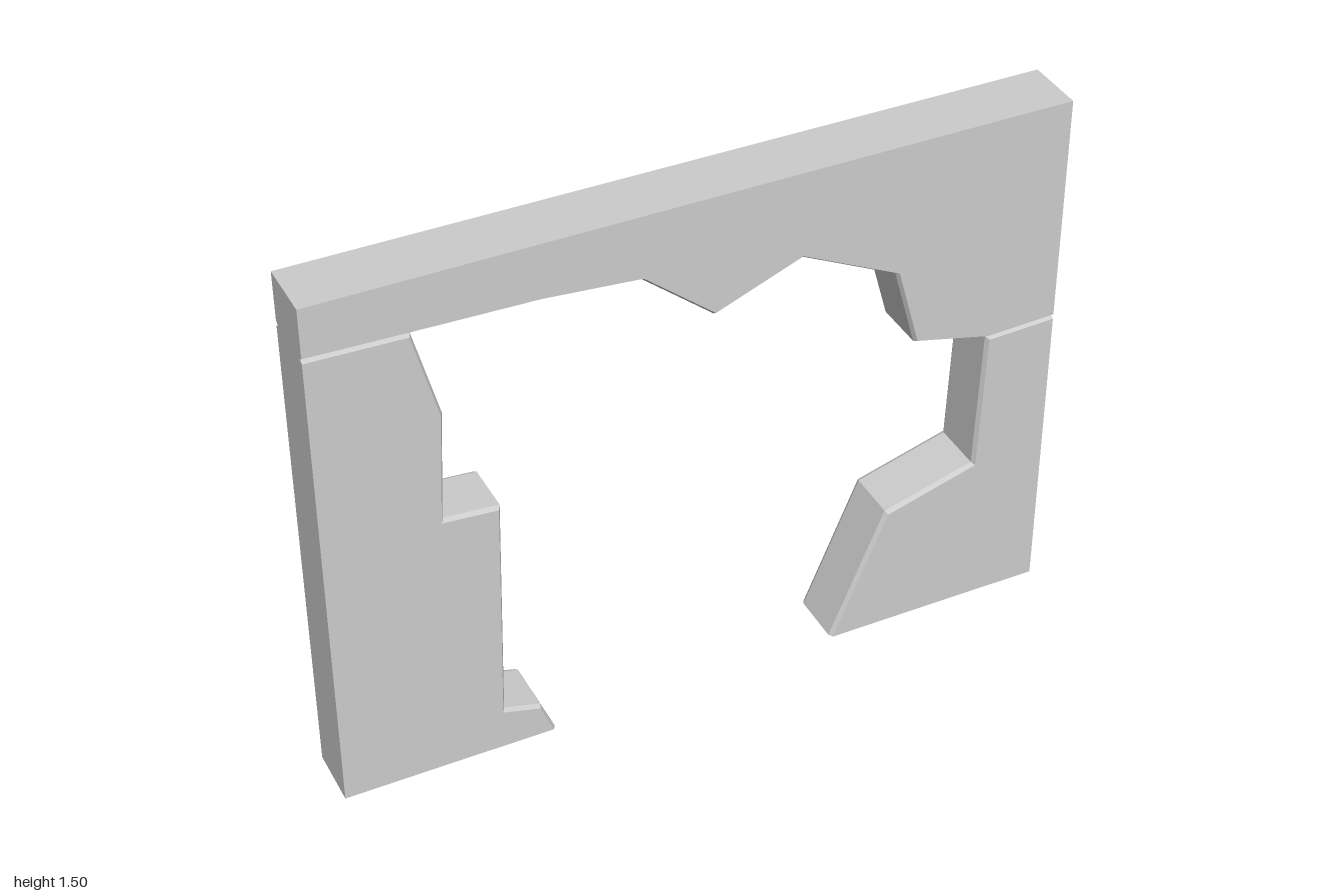
import * as THREE from 'three';

const HALF = 0.083;   // half the wall thickness
const INSET = 0.007;  // bevel, measured in the wall's plane
const DEPTH = 0.012;  // bevel, measured through the thickness

// Moves the points of a broken edge inwards (to its left); the ends slide along the wall's border.
function insetPath(path) {
  const normals = path.slice(1).map((p, i) => {
    const d = p.clone().sub(path[i]).normalize();
    return new THREE.Vector2(-d.y, d.x);
  });
  return path.map((p, i) => {
    const a = normals[i - 1], b = normals[i];
    if (a && b) {
      const m = a.clone().add(b);
      return p.clone().addScaledVector(m, INSET / (1 + a.dot(b)));
    }
    const n = a || b;
    return p.y === 0
      ? new THREE.Vector2(p.x + INSET / n.x, 0)
      : new THREE.Vector2(p.x, p.y + INSET / n.y);
  });
}

// Hollow slab: flat front and back, bevelled broken edge, plain border, open where it meets the ground.
function slabGeometry(brokenEdge, corners) {
  const toVec = ([x, y]) => new THREE.Vector2(x, y);
  const path = brokenEdge.map(toVec), border = corners.map(toVec);
  const outer = [...path, ...border];
  const inner = [...insetPath(path), ...border];
  const positions = [];
  const triangle = (...pts) => pts.forEach((p) => positions.push(...p));

  // Front and back faces
  for (const [a, b, c] of THREE.ShapeUtils.triangulateShape(inner, [])) {
    const at = (i, z) => [inner[i].x, inner[i].y, z];
    triangle(at(a, HALF), at(b, HALF), at(c, HALF));
    triangle(at(a, -HALF), at(c, -HALF), at(b, -HALF));
  }

  // Rim: bevel, wall, bevel
  const levels = [
    [inner, HALF], [outer, HALF - DEPTH], [outer, DEPTH - HALF], [inner, -HALF],
  ];
  outer.forEach((p, i) => {
    const j = (i + 1) % outer.length;
    if (p.y === 0 && outer[j].y === 0) return;
    for (let k = 0; k < 3; k++) {
      const at = (n, level) => {
        const [pts, z] = levels[level];
        return [pts[n].x, pts[n].y, z];
      };
      const a = at(i, k), b = at(j, k), c = at(j, k + 1), d = at(i, k + 1);
      triangle(a, d, c);
      triangle(a, c, b);
    }
  });

  const geometry = new THREE.BufferGeometry();
  geometry.setAttribute('position', new THREE.Float32BufferAttribute(positions, 3));
  geometry.computeVertexNormals();
  return geometry;
}

export function createModel() {
  const group = new THREE.Group();
  group.name = 'brokenWall';
  const material = new THREE.MeshStandardMaterial({
    color: 0xcccccc, flatShading: true, side: THREE.DoubleSide,
  });
  const add = (name, edge, corners) => {
    const mesh = new THREE.Mesh(slabGeometry(edge, corners), material);
    mesh.name = name;
    group.add(mesh);
  };

  // Jagged lintel across the top
  add('lintel', [
    [-1, 1.358], [-0.738, 1.35], [-0.42, 1.342], [-0.16, 1.32], [0.03, 1.162],
    [0.265, 1.256], [0.53, 1.126], [0.592, 0.902], [0.805, 0.85], [1, 0.857],
  ], [[1, 1.5], [-1, 1.5]]);

  // Tall stepped pier on the -x side
  add('rightPier', [
    [-0.42, 0], [-0.458, 0.093], [-0.557, 0.12], [-0.541, 0.777], [-0.688, 0.789],
    [-0.673, 1.1], [-0.738, 1.35], [-1, 1.358],
  ], [[-1, 0]]);

  // Short sloping pier on the +x side
  add('leftPier', [
    [1, 0.857], [0.805, 0.85], [0.79, 0.447], [0.535, 0.372], [0.38, 0],
  ], [[1, 0]]);

  return group;
}
